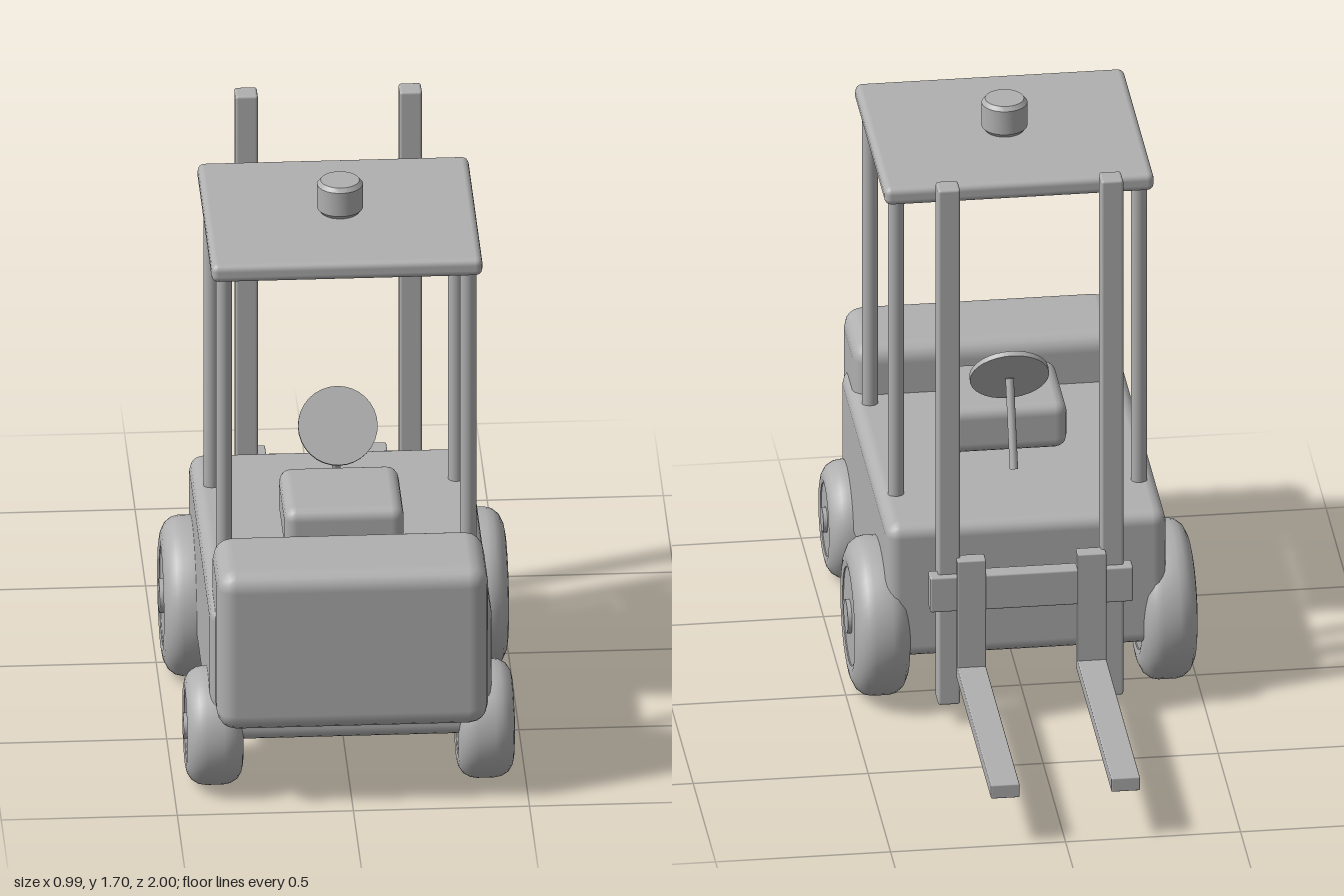
import * as THREE from 'three';
import { toCreasedNormals } from 'three/addons/utils/BufferGeometryUtils.js';
import { RoundedBoxGeometry } from 'three/addons/geometries/RoundedBoxGeometry.js';

const grey = new THREE.MeshStandardMaterial({ color: 0xb0b0b0 });
grey.name = 'grey';

export function createModel() {
  const model = new THREE.Group();
  model.name = 'forklift';

  function add(name, geometry, x = 0, y = 0, z = 0, parent = model) {
    const mesh = new THREE.Mesh(geometry, grey);
    mesh.name = name;
    mesh.position.set(x, y, z);
    parent.add(mesh);
    return mesh;
  }

  // Rounded block given by its half width about x and its y and z extents
  function block(name, x, halfW, y0, y1, z0, z1, radius, parent = model) {
    const geometry = new RoundedBoxGeometry(halfW * 2, y1 - y0, z1 - z0, 2, radius);
    return add(name, geometry, x, (y0 + y1) / 2, (z0 + z1) / 2, parent);
  }

  // Upright turned part from a [radius, height] profile
  function turned(profile, segments = 40) {
    const points = profile.map(([r, y]) => new THREE.Vector2(r, y));
    return toCreasedNormals(new THREE.LatheGeometry(points, segments), 0.6);
  }

  // Chassis, counterweight and seat
  block('body', 0, 0.4, 0.18, 0.6, -0.142, 0.9, 0.04);
  block('counterweight', 0, 0.385, 0.255, 0.75, 0.7, 1.0, 0.055);
  block('seat', 0, 0.17, 0.605, 0.75, 0.275, 0.58, 0.035);

  // Overhead guard with four posts and a beacon
  block('roof', 0, 0.385, 1.535, 1.59, 0.022, 0.71, 0.02);
  for (const x of [-0.347, 0.347]) {
    for (const z of [0.077, 0.655]) {
      add('roofPost', new THREE.CylinderGeometry(0.023, 0.023, 0.96, 20), x, 1.07, z);
    }
  }
  const beacon = [[0, 0], [0.055, 0], [0.065, 0.012], [0.065, 0.085], [0.055, 0.097], [0, 0.097]];
  add('beacon', turned(beacon), 0, 1.59, 0.365);

  // Steering column and tilted wheel disc
  const from = new THREE.Vector3(0, 0.615, 0.155);
  const to = new THREE.Vector3(0, 0.855, 0.25);
  const columnAxis = to.clone().sub(from);
  const column = add('steeringColumn',
    new THREE.CylinderGeometry(0.012, 0.012, columnAxis.length(), 16));
  column.position.copy(from).add(to).multiplyScalar(0.5);
  column.quaternion.setFromUnitVectors(new THREE.Vector3(0, 1, 0), columnAxis.normalize());
  const steering = add('steeringWheel',
    new THREE.CylinderGeometry(0.113, 0.113, 0.016, 32), 0, 0.862, 0.26);
  steering.rotation.x = 1.02;

  // Wheels: rounded tyre, recessed rim and raised hub cap
  function wheel(name, side, x, y, z, R) {
    const h = 0.08;
    const group = new THREE.Group();
    group.name = name;
    group.position.set(side * x, y, z);
    group.rotation.z = -side * Math.PI / 2;
    const outer = [[0.62, h - 0.015], [0.62, h - 0.004], [0.7, h], [0.8, h * 0.95],
      [0.91, h * 0.8], [0.98, h * 0.55], [1, h * 0.3]].map(([r, t]) => [r * R, t]);
    const inner = outer.map(([r, t]) => [r, -t]);
    add('tyre', turned([...inner, ...outer.reverse()], 48), 0, 0, 0, group);
    add('rim', new THREE.CylinderGeometry(R * 0.615, R * 0.615, 0.146, 40), 0, 0, 0, group);
    add('hubCap', new THREE.CylinderGeometry(R * 0.215, R * 0.215, 0.17, 24), 0, 0, 0, group);
    model.add(group);
  }
  for (const side of [-1, 1]) {
    wheel('driveWheel', side, 0.41, 0.236, 0.04, 0.229);
    wheel('steerWheel', side, 0.385, 0.178, 0.77, 0.17);
  }

  // Mast rails, carriage bar and L-shaped forks
  block('carriage', 0, 0.29, 0.375, 0.485, -0.245, -0.195, 0.006);
  for (const side of [-1, 1]) {
    block('mastRail', side * 0.233, 0.032, 0.07, 1.702, -0.226, -0.162, 0.008);
    block('forkUpright', side * 0.172, 0.041, 0.156, 0.535, -0.25, -0.205, 0.004);
    block('forkBlade', side * 0.172, 0.041, 0.156, 0.199, -1.0, -0.205, 0.004);
  }

  return model;
}
